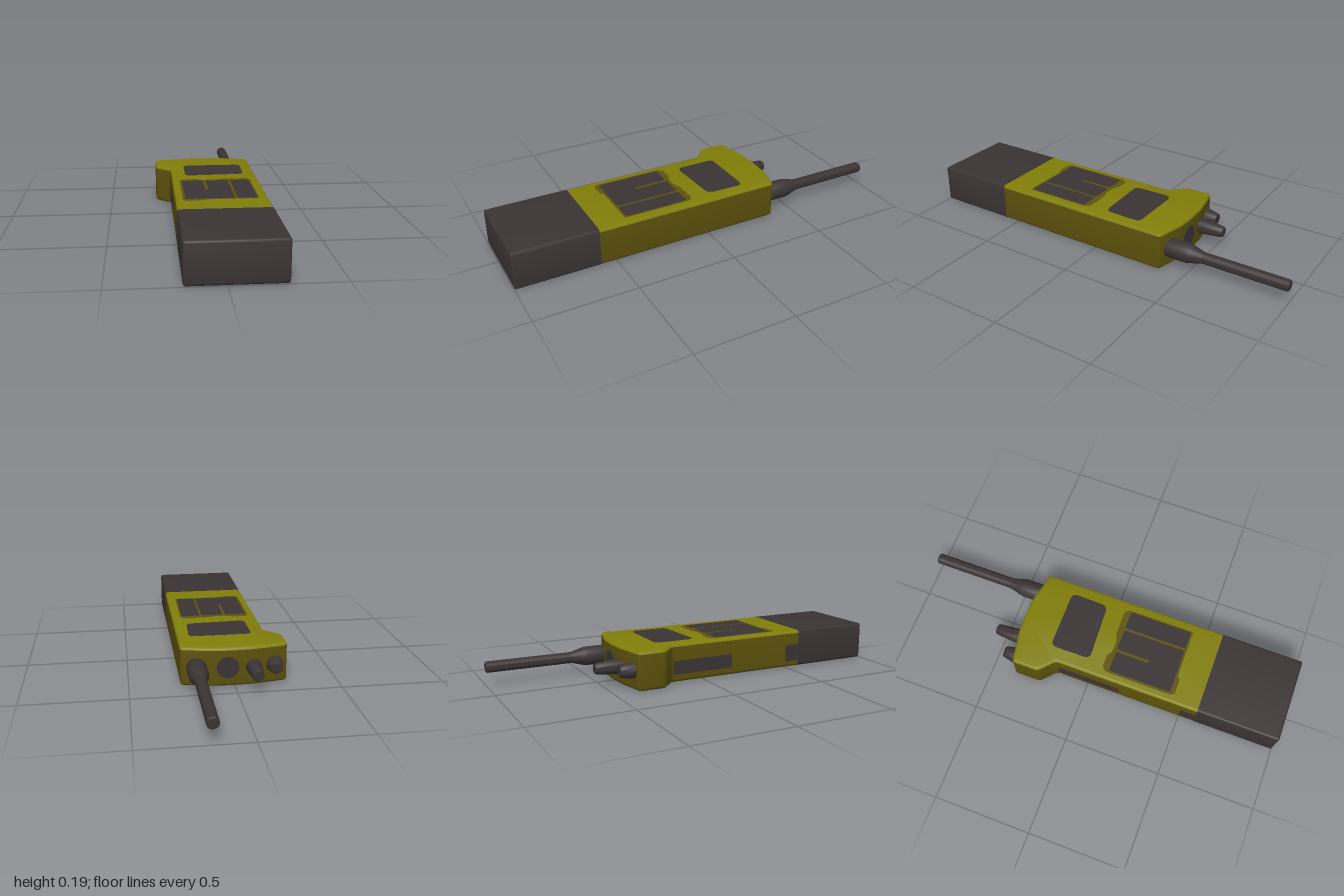
import * as THREE from 'three';
import { toCreasedNormals } from 'three/addons/utils/BufferGeometryUtils.js';

const paint = (name, color) => {
  const m = new THREE.MeshStandardMaterial({ color });
  m.name = name;
  return m;
};
const olive = paint('olive', 0x807e08);
const darkOlive = paint('darkOlive', 0x5e530c);
const charcoal = paint('charcoal', 0x3a3334);

// Closed outline from [x, z] corners, each softened by radius r
function outline(points, r) {
  const v = points.map(([x, z]) => new THREE.Vector2(x, -z));
  const shape = new THREE.Shape();
  v.forEach((p, i) => {
    const prev = v[(i + v.length - 1) % v.length];
    const next = v[(i + 1) % v.length];
    const a = p.clone().add(prev.clone().sub(p).setLength(r));
    const b = p.clone().add(next.clone().sub(p).setLength(r));
    if (i === 0) shape.moveTo(a.x, a.y);
    else shape.lineTo(a.x, a.y);
    shape.quadraticCurveTo(p.x, p.y, b.x, b.y);
  });
  shape.closePath();
  return shape;
}

// Upright slab with softened edges, standing between y0 and y1
function slab(points, r, y0, y1, bevel) {
  const g = new THREE.ExtrudeGeometry(outline(points, r), {
    depth: y1 - y0 - 2 * bevel, bevelEnabled: true, bevelThickness: bevel,
    bevelSize: bevel, bevelOffset: -bevel, bevelSegments: 3, curveSegments: 4,
  });
  g.rotateX(-Math.PI / 2);
  g.translate(0, y0 + bevel, 0);
  return g;
}

// Flatten everything beyond the seams so neighbouring slabs meet flush
function clampYZ(g, yLo, yHi, zLo, zHi) {
  const p = g.attributes.position;
  for (let i = 0; i < p.count; i++) {
    p.setY(i, THREE.MathUtils.clamp(p.getY(i), yLo, yHi));
    p.setZ(i, THREE.MathUtils.clamp(p.getZ(i), zLo, zHi));
  }
  return toCreasedNormals(g, 0.6);
}

const rect = (x0, x1, z0, z1) => [[x0, z1], [x1, z1], [x1, z0], [x0, z0]];

export function createModel() {
  const group = new THREE.Group();
  const add = (name, geometry, material) => {
    const mesh = new THREE.Mesh(geometry, material);
    mesh.name = name;
    group.add(mesh);
    return mesh;
  };
  const SEAM = 0.58, TOP = 0.193, EDGE = 0.014;

  // Casing with the side bulge and bowed end: dark shell under a bright face
  const casing = () => slab([
    [-0.18, 0.64], [0.256, 0.64], [0.256, -0.375], [0.11, -0.409], [0.01, -0.413],
    [-0.09, -0.409], [-0.257, -0.378], [-0.257, -0.24], [-0.18, -0.17],
  ], 0.016, 0, TOP, EDGE);
  add('casingShell', clampYZ(casing(), 0, TOP - EDGE, -1, SEAM), darkOlive);
  add('casingFace', clampYZ(casing(), TOP - EDGE, TOP, -1, SEAM), olive);

  // Battery pack
  const battery = slab(rect(-0.18, 0.256, 0.52, 1), 0.012, 0, TOP + 0.001, 0.012);
  add('battery', clampYZ(battery, 0, 1, SEAM, 1), charcoal);

  // Display window
  add('display', slab([[-0.108, -0.015], [0.193, -0.03], [0.198, -0.225], [-0.11, -0.225]],
    0.03, TOP - 0.004, TOP + 0.002, 0.001), charcoal);

  // Scalloped keypad surround and its three columns of keys
  add('keypadSurround', slab([
    [-0.135, 0.447], [-0.055, 0.447], [-0.04, 0.432], [0.212, 0.432], [0.212, 0.085],
    [0.19, 0.064], [0.07, 0.066], [0.03, 0.08], [-0.03, 0.08], [-0.06, 0.062],
    [-0.125, 0.062], [-0.145, 0.085], [-0.145, 0.425],
  ], 0.008, TOP - 0.004, TOP + 0.001, 0.001), darkOlive);
  [[-0.134, -0.027], [-0.013, 0.099], [0.111, 0.205]].forEach(([x0, x1], i) => {
    add('keyColumn' + (i + 1), slab(rect(x0, x1, 0.098, 0.422), 0.012, TOP - 0.003, TOP + 0.002, 0.001), charcoal);
  });
  add('keyBridge', slab(rect(-0.04, 0, 0.27, 0.422), 0.003, TOP - 0.003, TOP + 0.0019, 0.001), charcoal);

  // Talk button and battery catch on the right side
  const sidePlate = (name, y0, y1, z0, z1) => {
    const g = new THREE.BoxGeometry(0.008, y1 - y0, z1 - z0);
    add(name, g, charcoal).position.set(-0.1775, (y0 + y1) / 2, (z0 + z1) / 2);
  };
  sidePlate('talkButton', 0.038, 0.108, -0.17, 0.17);
  sidePlate('batteryCatch', 0.03, 0.12, 0.5, SEAM);

  // Turned fittings pointing out of the end; profile is [radius, z]
  const turned = (name, x, profile) => {
    const pts = profile.map(([r, z]) => new THREE.Vector2(r, -z));
    const g = new THREE.LatheGeometry(pts, 24);
    g.rotateX(-Math.PI / 2);
    add(name, toCreasedNormals(g, 0.6), charcoal).position.set(x, 0.094, 0);
  };
  turned('antenna', 0.18, [
    [0, -0.36], [0.042, -0.36], [0.048, -0.38], [0.048, -0.49], [0.044, -0.51],
    [0.029, -0.565], [0.028, -0.58], [0.028, -0.993], [0.023, -1], [0, -1],
  ]);
  turned('channelKnob', -0.09, [
    [0, -0.38], [0.039, -0.38], [0.037, -0.44], [0.028, -0.533], [0.023, -0.541], [0, -0.541],
  ]);
  turned('volumeKnob', -0.193, [
    [0, -0.36], [0.042, -0.36], [0.04, -0.4], [0.03, -0.448], [0.026, -0.455], [0, -0.455],
  ]);
  turned('socketCover', 0.033, [[0, -0.405], [0.054, -0.405], [0.054, -0.414], [0, -0.414]]);

  return group;
}
